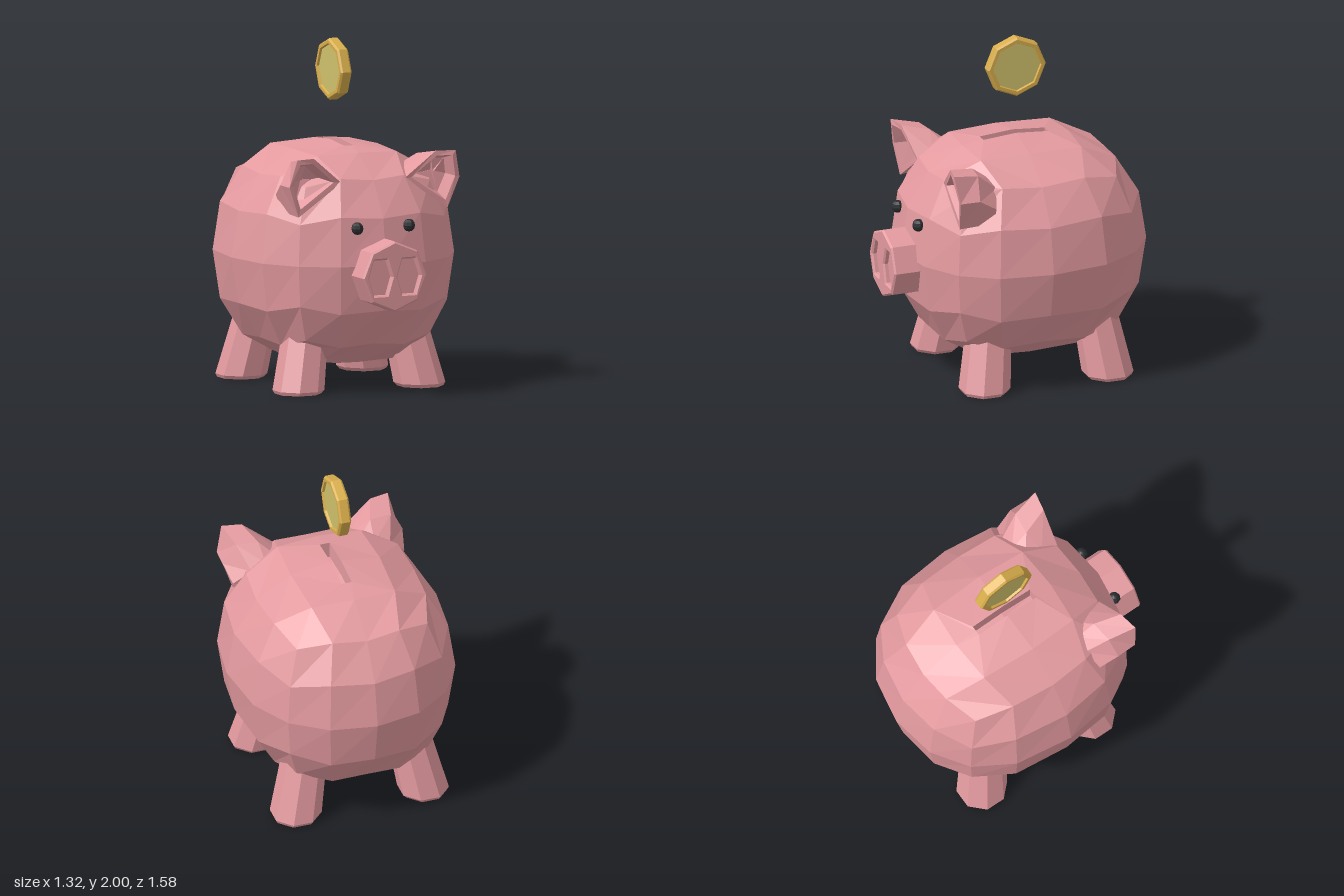
import * as THREE from 'three';

const PINK = 0xe39a9f, GOLD = 0xd9ae4c, PALE_GOLD = 0xcfc06c, DARK = 0x2b2d30;
const paint = (color, side = THREE.FrontSide) =>
  new THREE.MeshStandardMaterial({ color, flatShading: true, side });

function part(parent, name, geometry, color, side) {
  const flat = geometry.index ? geometry.toNonIndexed() : geometry;
  flat.computeVertexNormals();
  const mesh = new THREE.Mesh(flat, paint(color, side));
  mesh.name = name;
  parent.add(mesh);
  return mesh;
}

// Skin through closed loops of [x, y, z] points that all have the same count.
function loft(loops) {
  const n = loops[0].length, index = [];
  for (let r = 0; r < loops.length - 1; r++) {
    for (let i = 0; i < n; i++) {
      const a = r * n + i, b = r * n + (i + 1) % n, c = b + n, d = a + n;
      index.push(a, d, b, b, d, c);
    }
  }
  const g = new THREE.BufferGeometry();
  g.setAttribute('position', new THREE.Float32BufferAttribute(loops.flat(2), 3));
  g.setIndex(index);
  return g;
}

// Maps a point of the unit cube onto the plump body.
function bodyPoint(x, y, z) {
  const n = new THREE.Vector3(x, y, z).normalize();
  const swell = (v, p) => Math.sign(v) * Math.abs(v) ** p;
  return [
    0.66 * swell(n.x, 0.93),
    0.765 + 0.655 * swell(n.y, 0.93) * (1 + 0.4 * Math.abs(n.x * n.z)),
    -0.02 + (n.z > 0 ? 0.69 : 0.77) * swell(n.z, 0.83),
  ];
}

function addBody(pig) {
  const box = new THREE.BoxGeometry(2, 2, 2, 4, 4, 4);
  const pos = box.attributes.position;
  const even = (v) => Math.tan(v * Math.PI / 4);
  for (let i = 0; i < pos.count; i++) {
    pos.setXYZ(i, ...bodyPoint(even(pos.getX(i)), even(pos.getY(i)), even(pos.getZ(i))));
  }
  // Leave out the four middle quads of the top, where the slot goes.
  const topStart = 2 * 96;
  box.setIndex([...box.index.array].filter((_, k) => {
    const q = Math.floor((k - topStart) / 6), row = Math.floor(q / 4), col = q % 4;
    return !(q >= 0 && q < 16 && (row === 1 || row === 2) && (col === 1 || col === 2));
  }));
  part(pig, 'body', box, PINK);

  // Coin slot: surrounding skin, walls and floor.
  const around = [[-1, -1], [0, -1], [1, -1], [1, 0], [1, 1], [0, 1], [-1, 1], [-1, 0]];
  const t = Math.tan(Math.PI / 8);
  const slotLoop = (drop) => around.map(([x, z]) =>
    [x * 0.03, (z ? 1.4 : 1.416) - drop, -0.03 + z * 0.2]);
  part(pig, 'coinSlot', loft([
    around.map(([x, z]) => bodyPoint(x * t, 1, z * t)),
    slotLoop(0), slotLoop(0.1),
    around.map(() => [0, 1.305, -0.03]),
  ]), PINK);
}

function addSnout(pig) {
  const snout = new THREE.Group();
  snout.name = 'snout';
  const base = new THREE.CylinderGeometry(0.205, 0.205, 0.26, 8);
  base.rotateX(Math.PI / 2);
  base.translate(0, 0.715, 0.625);
  part(snout, 'snoutBase', base, PINK);

  // Front plate with two hexagonal nostril holes.
  const plate = new THREE.Shape();
  for (let i = 0; i < 8; i++) {
    const a = i * Math.PI / 4, x = 0.205 * Math.cos(a), y = 0.205 * Math.sin(a);
    if (i) plate.lineTo(x, y); else plate.moveTo(x, y);
  }
  plate.closePath();
  for (const s of [-1, 1]) {
    const hole = [[0.13, 0.1], [0.05, 0.1], [0.018, 0], [0.05, -0.105], [0.13, -0.105], [0.163, 0]]
      .map(([x, y]) => new THREE.Vector2(s * x, y));
    plate.holes.push(new THREE.Path(hole));
  }
  const front = new THREE.ExtrudeGeometry(plate, {
    depth: 0.02, bevelEnabled: true, bevelThickness: 0.01,
    bevelSize: 0.01, bevelOffset: -0.01, bevelSegments: 1,
  });
  front.translate(0, 0.715, 0.755);
  part(snout, 'nostrilPlate', front, PINK);
  pig.add(snout);
}

function addEar(pig, s, name) {
  const ear = new THREE.Group();
  ear.name = name;
  const side = (loop) => loop.map(([x, y, z]) => [s * x, y, z]);
  const rim = [[0.2, 1.235, 0.485], [0.39, 1.39, 0.515], [0.505, 1.39, 0.537],
    [0.542, 1.23, 0.51], [0.475, 1.05, 0.49]];
  const middle = [[0.22, 1.27, 0.385], [0.34, 1.36, 0.36], [0.47, 1.36, 0.375],
    [0.545, 1.23, 0.39], [0.49, 1.06, 0.38]];
  const back = [[0.24, 1.28, 0.285], [0.33, 1.28, 0.25], [0.42, 1.25, 0.24],
    [0.52, 1.16, 0.28], [0.49, 1.07, 0.28]];
  const sunk = back.map(() => [0.33, 1.1, 0.25]);
  // Shrinks the rim towards its middle and pushes it back.
  const inset = (k, depth) => rim.map(([x, y, z]) =>
    [x + (0.42 - x) * k, y + (1.26 - y) * k, z - depth]);
  part(ear, 'earShell', loft([rim, middle, back, sunk].map(side)), PINK, THREE.DoubleSide);
  part(ear, 'earHollow', loft([rim, inset(0.22, 0), inset(0.4, 0.09), inset(1, 0.11)].map(side)),
    PINK, THREE.DoubleSide);
  pig.add(ear);
}

function addLeg(pig, s, z, name) {
  const profile = [[0, 0], [0.135, 0], [0.15, 0.02], [0.125, 0.5], [0, 0.5]]
    .map(([r, y]) => new THREE.Vector2(r, y));
  const leg = new THREE.LatheGeometry(profile, 8, Math.PI / 8);
  // Lean the leg inwards while its sole stays flat.
  leg.applyMatrix4(new THREE.Matrix4().set(
    1, -0.2 * s, 0, 0.39 * s,
    0, 1, 0, 0,
    0, -0.15 * Math.sign(z), 1, z,
    0, 0, 0, 1));
  part(pig, name, leg, PINK);
}

function addCoin(root) {
  const coin = new THREE.Group();
  coin.name = 'coin';
  // Octagonal rim with raised, chamfered edges.
  const rim = [[0.145, -0.02], [0.15, -0.035], [0.17, -0.035], [0.18, -0.024],
    [0.18, 0.024], [0.17, 0.035], [0.15, 0.035], [0.145, 0.02]]
    .map(([r, y]) => new THREE.Vector2(r, y));
  part(coin, 'coinRim', new THREE.LatheGeometry(rim, 8), GOLD, THREE.DoubleSide);
  part(coin, 'coinFace', new THREE.CylinderGeometry(0.147, 0.147, 0.044, 8), PALE_GOLD);
  coin.rotation.z = Math.PI / 2;
  coin.position.set(0, 1.82, -0.037);
  root.add(coin);
}

export function createModel() {
  const root = new THREE.Group();
  root.name = 'piggyBank';
  const pig = new THREE.Group();
  pig.name = 'pig';
  root.add(pig);

  addBody(pig);
  addSnout(pig);
  for (const [s, label] of [[1, 'left'], [-1, 'right']]) {
    addEar(pig, s, label + 'Ear');
    addLeg(pig, s, 0.305, label + 'FrontLeg');
    addLeg(pig, s, -0.46, label + 'BackLeg');
    const eye = part(pig, label + 'Eye', new THREE.SphereGeometry(0.037, 8, 6), DARK);
    eye.position.set(s * 0.165, 0.985, 0.625);
  }
  addCoin(root);
  return root;
}
